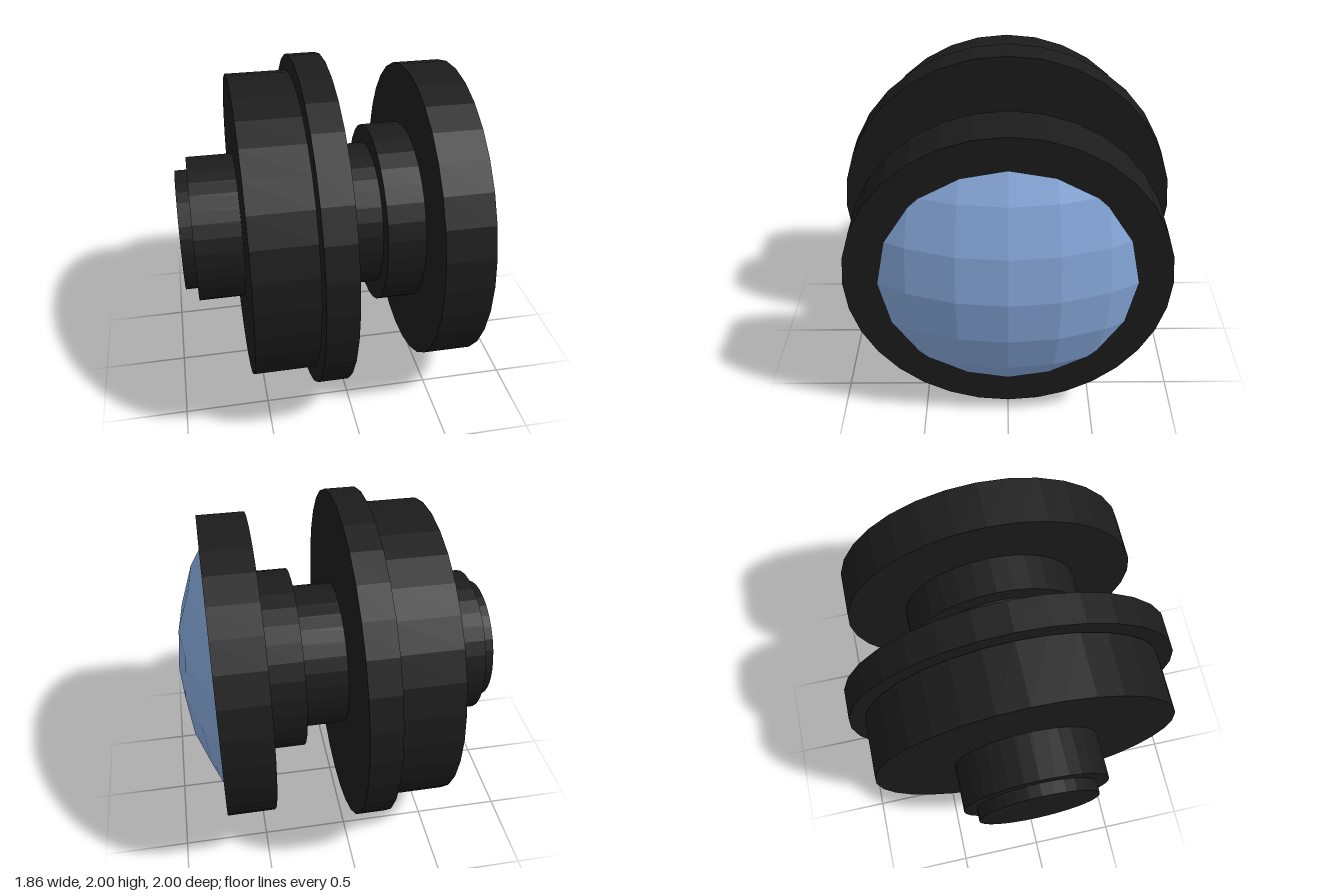
import * as THREE from 'three';

const black = new THREE.MeshStandardMaterial({ color: 0x1c1c1c, flatShading: true });
const glass = new THREE.MeshStandardMaterial({ color: 0x88aadd, flatShading: true, side: THREE.DoubleSide });

// Cylinder lying along x, from x0 to x1
function disc(name, radius, x0, x1) {
  const geo = new THREE.CylinderGeometry(radius, radius, x1 - x0, 32);
  geo.rotateZ(-Math.PI / 2);
  const mesh = new THREE.Mesh(geo, black);
  mesh.name = name;
  mesh.position.set((x0 + x1) / 2, 1, 0);
  return mesh;
}

// Keeps the part of a geometry with x >= cut
function clipX(geo, cut) {
  const pos = geo.toNonIndexed().attributes.position;
  const out = [];
  for (let i = 0; i < pos.count; i += 3) {
    const poly = [];
    for (let k = 0; k < 3; k++) {
      const a = new THREE.Vector3().fromBufferAttribute(pos, i + k);
      const b = new THREE.Vector3().fromBufferAttribute(pos, i + (k + 1) % 3);
      if (a.x >= cut) poly.push(a);
      if ((a.x >= cut) !== (b.x >= cut)) poly.push(a.clone().lerp(b, (cut - a.x) / (b.x - a.x)));
    }
    for (let k = 1; k + 1 < poly.length; k++) {
      for (const p of [poly[0], poly[k], poly[k + 1]]) out.push(p.x, p.y, p.z);
    }
  }
  const clipped = new THREE.BufferGeometry();
  clipped.setAttribute('position', new THREE.Float32BufferAttribute(out, 3));
  clipped.computeVertexNormals();
  return clipped;
}

export function createModel() {
  const model = new THREE.Group();
  model.name = 'lensAssembly';

  // Stepped body, from the rear end to the front ring
  model.add(
    disc('rearCap', 0.36, -0.93, -0.84),
    disc('barrel', 0.435, -0.857, 0.24),
    disc('rearDisc', 0.907, -0.584, -0.223),
    disc('flange', 1, -0.216, -0.036),
    disc('collar', 0.546, 0.224, 0.46),
    disc('frontRing', 0.907, 0.447, 0.73)
  );

  // Domed glass: a cap cut from a large faceted sphere
  const radius = 1.45;
  const sphere = new THREE.SphereGeometry(radius, 32, 16);
  sphere.translate(0.926 - radius, 0, 0);
  const lens = new THREE.Mesh(clipX(sphere, 0.73), glass);
  lens.name = 'lens';
  lens.position.y = 1;
  model.add(lens);

  return model;
}
